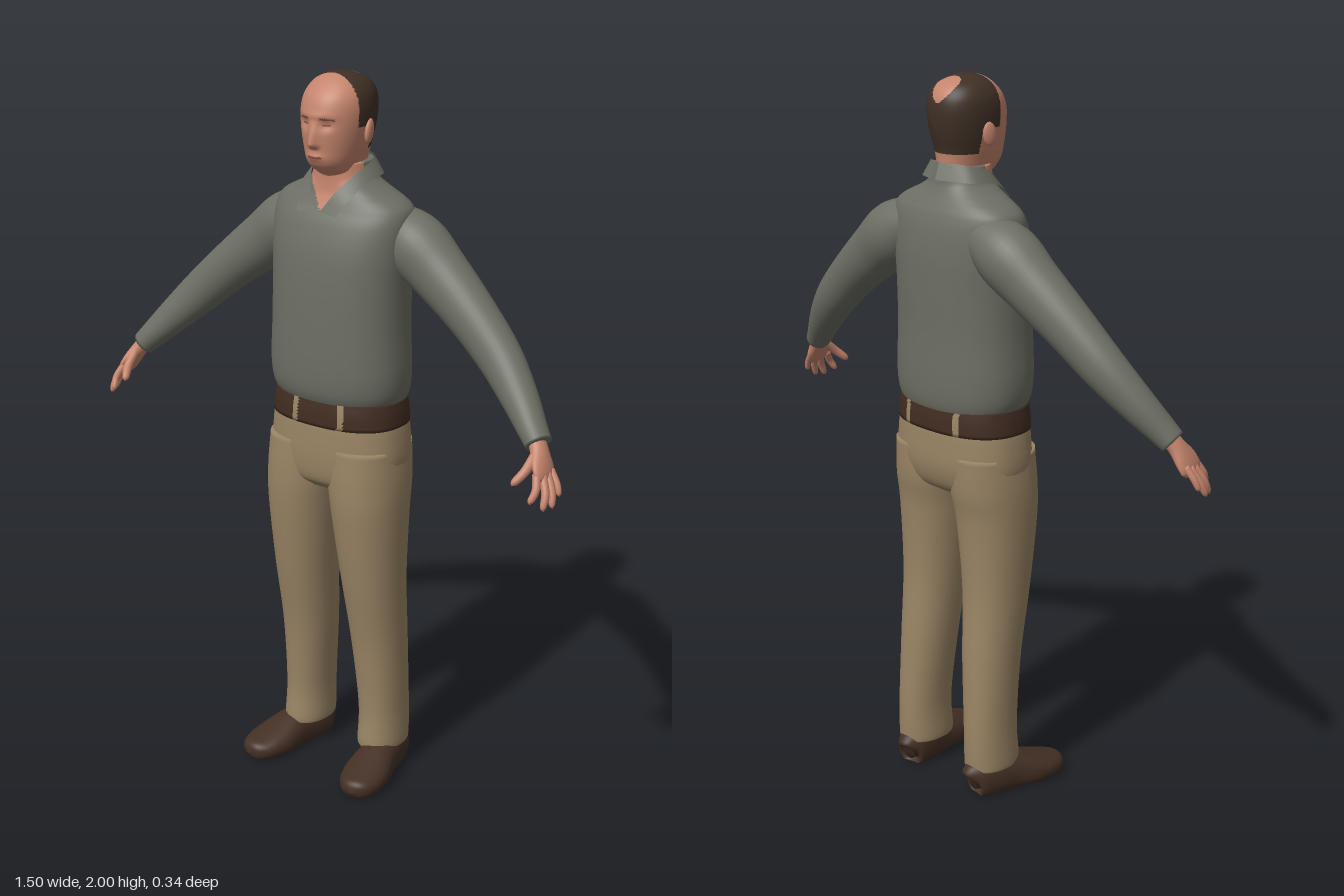
import * as THREE from 'three';

const mat = (name, color) => {
  const m = new THREE.MeshStandardMaterial({ color });
  m.name = name;
  return m;
};
const V3 = (x, y, z) => new THREE.Vector3(x, y, z);
const bell = (d, w) => Math.exp(-(d * d) / (w * w));

// Smooth skin through elliptical sections; key = [x, y, z, halfU, halfV].
// level: sections stay horizontal (U = x, V = z); otherwise they follow the path with V near ref.
// warp moves each vertex; paint picks a material index for each face from its centre.
function loft(name, keys, materials, o = {}) {
  const { seg = 32, steps = 40, level = false, ref = V3(0, 0, 1), power = 2, warp, paint } = o;
  const path = new THREE.CatmullRomCurve3(keys.map(k => V3(k[0], k[1], k[2])), false, 'catmullrom', 0.5);
  const size = new THREE.CatmullRomCurve3(keys.map(k => V3(k[3], k[4], 0)), false, 'catmullrom', 0.5);
  const pts = [], bend = c => Math.sign(c) * Math.abs(c) ** (2 / power);
  for (let i = 0; i <= steps; i++) {
    const t = i / steps, c = path.getPoint(t), r = size.getPoint(t);
    const T = level ? V3(0, 1, 0) : path.getTangent(t);
    const V = ref.clone().addScaledVector(T, -ref.dot(T)).normalize();
    const U = T.clone().cross(V);
    for (let j = 0; j < seg; j++) {
      const a = (j / seg) * Math.PI * 2;
      pts.push(c.clone().addScaledVector(U, Math.max(r.x, 0) * bend(Math.cos(a)))
        .addScaledVector(V, Math.max(r.y, 0) * bend(Math.sin(a))));
    }
  }
  pts.push(path.getPoint(0), path.getPoint(1));
  if (warp) pts.forEach(warp);
  const list = [].concat(materials), faces = list.map(() => []);
  const tri = (a, b, c) => {
    const mid = pts[a].clone().add(pts[b]).add(pts[c]).divideScalar(3);
    faces[paint ? paint(mid) : 0].push(a, b, c);
  };
  const end = (steps + 1) * seg;
  for (let j = 0; j < seg; j++) {
    const n = (j + 1) % seg, top = steps * seg;
    for (let i = 0; i < steps; i++) {
      const a = i * seg + j, b = i * seg + n;
      tri(a, a + seg, b);
      tri(b, a + seg, b + seg);
    }
    tri(end, j, n);
    tri(end + 1, top + n, top + j);
  }
  const g = new THREE.BufferGeometry().setFromPoints(pts);
  g.setIndex(faces.flat());
  let start = 0;
  faces.forEach((f, i) => { g.addGroup(start, f.length, i); start += f.length; });
  g.computeVertexNormals();
  const mesh = new THREE.Mesh(g, list.length > 1 ? list : list[0]);
  mesh.name = name;
  return mesh;
}

// Horizontal section from its extents
const slab = (y, x0, x1, zBack, zFront) =>
  [(x0 + x1) / 2, y, (zBack + zFront) / 2, Math.abs(x1 - x0) / 2, (zFront - zBack) / 2];
const wide = rows => rows.map(([y, h, b, f]) => slab(y, -h, h, b, f));

export function createModel() {
  const root = new THREE.Group();
  root.name = 'standingMan';
  const skin = mat('skin', 0xc4846c), hair = mat('hair', 0x3f3025), brow = mat('brow', 0x7c5142);
  const knit = mat('sweater', 0x6d6f64), khaki = mat('trousers', 0x9a8565);
  const belt = mat('belt', 0x422d22), leather = mat('shoes', 0x443025);
  const knitFold = mat('collar', 0x6d6f64);
  knitFold.side = THREE.DoubleSide;

  // Head and neck, with hair and brows as painted faces
  root.add(loft('head', wide([
    [1.62, 0.06, -0.11, 0.03], [1.69, 0.062, -0.112, 0.028], [1.735, 0.063, -0.113, 0.034],
    [1.758, 0.062, -0.112, 0.068], [1.78, 0.068, -0.113, 0.084], [1.81, 0.077, -0.116, 0.087],
    [1.85, 0.086, -0.126, 0.09], [1.885, 0.091, -0.132, 0.09], [1.92, 0.092, -0.133, 0.085],
    [1.95, 0.086, -0.126, 0.071], [1.975, 0.07, -0.107, 0.047], [1.99, 0.047, -0.078, 0.024],
    [1.998, 0.022, -0.047, -0.002], [2.0, 0, -0.025, -0.025],
  ]), [skin, hair, brow], {
    level: true, seg: 128, steps: 120, power: 2.1,
    warp: p => {
      if (p.z < 0.03) return;
      const x = Math.abs(p.x);
      const ridge = p.y > 1.825 ? Math.max(0, 1 - (p.y - 1.825) / 0.065) : Math.max(0, 1 - (1.825 - p.y) / 0.012);
      p.z += 0.022 * ridge * bell(x, 0.013)
        + 0.005 * bell(p.y - 1.792, 0.009) * bell(x, 0.024)
        - 0.008 * bell(p.y - 1.877, 0.014) * bell(x - 0.034, 0.018)
        + 0.003 * bell(p.y - 1.9, 0.01) * bell(x, 0.05);
    },
    paint: p => {
      const x = Math.abs(p.x), bald = Math.hypot(p.x, p.z + 0.095) < 0.036 && p.y > 1.92;
      if (p.z < 0.012 - 0.012 * bell(x, 0.05) && p.y > (p.z > -0.05 ? 1.868 : 1.803) && !bald) return 1;
      if (p.z > 0.04) {
        if (Math.abs(p.y - 1.894 + x * 0.04) < 0.003 && x > 0.017 && x < 0.054) return 2;
        if (Math.abs(p.y - 1.877) < 0.003 && x > 0.023 && x < 0.045) return 2;
        if (Math.abs(p.y - 1.792) < 0.0025 && x < 0.023) return 2;
      }
      return 0;
    },
  }));

  // Sweater body with an open V at the throat
  root.add(loft('sweater', wide([
    [1.115, 0.178, -0.155, 0.085], [1.125, 0.188, -0.165, 0.095], [1.16, 0.2, -0.172, 0.108],
    [1.22, 0.204, -0.174, 0.113], [1.33, 0.199, -0.173, 0.112], [1.45, 0.199, -0.175, 0.107],
    [1.54, 0.204, -0.175, 0.097], [1.61, 0.208, -0.168, 0.077], [1.65, 0.203, -0.158, 0.056],
    [1.672, 0.182, -0.148, 0.045], [1.69, 0.148, -0.139, 0.038], [1.71, 0.108, -0.13, 0.035],
    [1.73, 0.083, -0.124, 0.034], [1.77, 0.072, -0.12, 0.034],
  ]), [knit, skin], {
    level: true, seg: 128, steps: 100, power: 2.3,
    paint: p => (p.z > -0.03 && Math.abs(p.x) < (p.y - 1.64) * 0.72 ? 1 : 0),
  }));

  // Trousers: hips, then belt with loops left between its pieces
  root.add(loft('hips', wide([
    [0.87, 0.13, -0.1, 0.06], [0.9, 0.185, -0.143, 0.09], [0.96, 0.205, -0.164, 0.1],
    [1.04, 0.201, -0.166, 0.1], [1.1, 0.19, -0.162, 0.096], [1.135, 0.184, -0.158, 0.09],
  ]), khaki, { level: true, seg: 48, power: 2.4 }));
  root.add(loft('belt', wide([
    [1.062, 0.199, -0.168, 0.103], [1.1, 0.196, -0.167, 0.102], [1.135, 0.19, -0.163, 0.097],
  ]), [belt, khaki], {
    level: true, seg: 180, steps: 8, power: 2.4,
    paint: p => ((p.z > 0 ? [-0.058, 0.088] : [-0.09, 0.09]).some(x => Math.abs(p.x - x) < 0.009) ? 1 : 0),
  }));

  for (const s of [1, -1]) {
    const side = s > 0 ? 'left' : 'right';
    const flip = rows => rows.map(([x, ...r]) => [x * s, ...r]);

    // Ear
    const ear = new THREE.Mesh(new THREE.SphereGeometry(1, 20, 14), skin);
    ear.name = side + 'Ear';
    ear.scale.set(0.01, 0.033, 0.02);
    ear.position.set(0.09 * s, 1.853, -0.03);
    ear.rotation.set(-0.2, 0.25 * s, 0);
    root.add(ear);

    // Collar half, a ruled strip from its neck edge to its outer edge
    const edge = rows => new THREE.CatmullRomCurve3(flip(rows).map(r => V3(...r)));
    const inner = edge([[0.008, 1.648, 0.074], [0.045, 1.705, 0.047], [0.077, 1.755, -0.02], [0.07, 1.775, -0.085], [0, 1.782, -0.125]]);
    const outer = edge([[0.062, 1.642, 0.08], [0.084, 1.686, 0.047], [0.1, 1.724, -0.02], [0.092, 1.733, -0.095], [0, 1.737, -0.14]]);
    const strip = [], idx = [];
    for (let i = 0; i <= 20; i++) {
      strip.push(inner.getPoint(i / 20), outer.getPoint(i / 20));
      const a = i * 2;
      if (i < 20) idx.push(...(s > 0 ? [a, a + 1, a + 2, a + 1, a + 3, a + 2] : [a, a + 2, a + 1, a + 1, a + 2, a + 3]));
    }
    const cg = new THREE.BufferGeometry().setFromPoints(strip);
    cg.setIndex(idx);
    cg.computeVertexNormals();
    const collar = new THREE.Mesh(cg, knitFold);
    collar.name = side + 'Collar';
    root.add(collar);

    // Sleeve
    root.add(loft(side + 'Sleeve', flip([
      [0.1, 1.615, -0.08, 0.055, 0.06], [0.2, 1.562, -0.08, 0.087, 0.085], [0.29, 1.495, -0.074, 0.08, 0.075],
      [0.4, 1.408, -0.06, 0.069, 0.065], [0.5, 1.318, -0.042, 0.061, 0.057], [0.58, 1.238, -0.012, 0.05, 0.049],
      [0.64, 1.175, 0.018, 0.039, 0.041], [0.67, 1.143, 0.032, 0.034, 0.037],
    ]), knit));

    // Hand: palm, four fingers and thumb
    const hand = new THREE.Group();
    hand.name = side + 'Hand';
    hand.add(loft('palm', flip([
      [0.655, 1.16, 0.026, 0.022, 0.026], [0.677, 1.13, 0.04, 0.021, 0.028], [0.695, 1.1, 0.053, 0.018, 0.039],
      [0.708, 1.075, 0.061, 0.013, 0.04], [0.712, 1.062, 0.064, 0.006, 0.03],
    ]), skin, { seg: 24, steps: 16 }));
    const digit = (name, a, b, r, lift) => hand.add(loft(name, flip([
      [...a, r, r], [(a[0] + b[0]) / 2 + lift, (a[1] + b[1]) / 2, (a[2] + b[2]) / 2, r, r],
      [...b.map((v, i) => v + (a[i] - v) * 0.12), r * 0.8, r * 0.8], [...b, 0, 0],
    ]), skin, { seg: 12, steps: 14 }));
    digit('indexFinger', [0.7, 1.085, 0.088], [0.708, 1.018, 0.128], 0.0105, 0.008);
    digit('middleFinger', [0.708, 1.08, 0.071], [0.736, 1.0, 0.108], 0.0105, 0.007);
    digit('ringFinger', [0.711, 1.08, 0.053], [0.747, 1.002, 0.082], 0.01, 0.005);
    digit('littleFinger', [0.711, 1.085, 0.036], [0.748, 1.025, 0.05], 0.009, 0.004);
    digit('thumb', [0.678, 1.125, 0.06], [0.657, 1.058, 0.134], 0.0125, 0.006);
    root.add(hand);

    // Trouser leg
    root.add(loft(side + 'TrouserLeg', flip([
      slab(0.075, 0.074, 0.19, -0.138, 0.018), slab(0.09, 0.068, 0.196, -0.143, 0.026), slab(0.2, 0.068, 0.193, -0.145, 0.02),
      slab(0.4, 0.05, 0.195, -0.137, 0.036), slab(0.6, 0.034, 0.201, -0.126, 0.07), slab(0.8, 0.012, 0.209, -0.136, 0.097),
      slab(0.9, 0, 0.209, -0.152, 0.102), slab(1.0, 0.005, 0.2, -0.158, 0.098),
    ]), khaki, { level: true, power: 2.2, steps: 60 }));

    // Shoe, flat underneath, toe turned out
    const shoe = loft(side + 'Shoe', [
      [0, 0.04, 0, 0.015, 0.03], [0, 0.045, 0.012, 0.042, 0.055], [0, 0.045, 0.06, 0.051, 0.062],
      [0, 0.042, 0.13, 0.055, 0.058], [0, 0.032, 0.2, 0.066, 0.046], [0, 0.026, 0.26, 0.06, 0.034],
      [0, 0.022, 0.298, 0.036, 0.026], [0, 0.02, 0.312, 0, 0],
    ], leather, { ref: V3(0, 1, 0), power: 2.3, warp: p => { p.y = Math.max(p.y, 0); } });
    shoe.position.set(0.128 * s, 0, -0.137);
    shoe.rotation.y = 0.19 * s;
    root.add(shoe);
  }
  return root;
}
